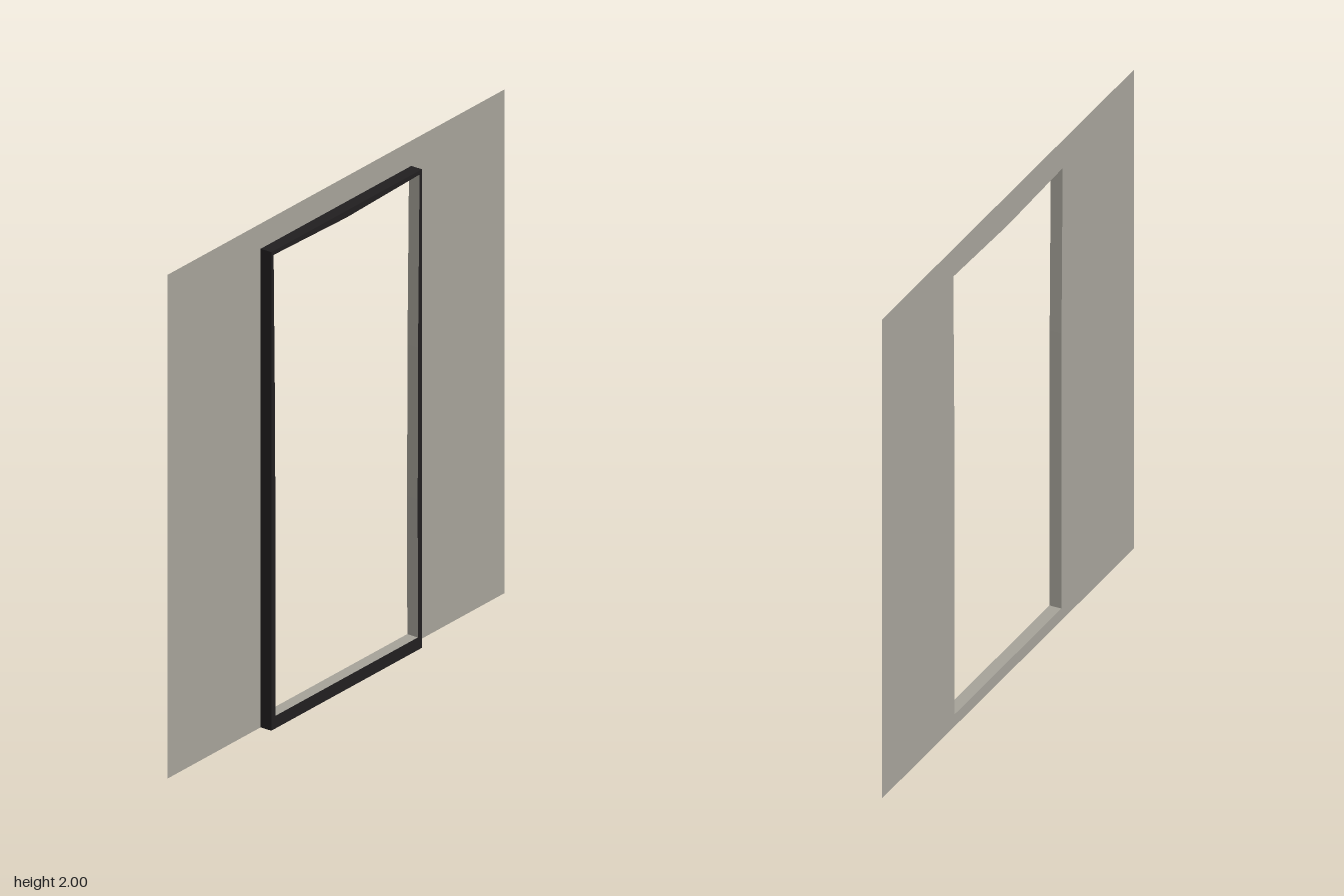
import * as THREE from 'three';

const BACK = -0.024, FRONT = 0.024;

// Counter-clockwise loops, seen from the front
const wallEdge = [[-1, 0], [1, 0], [1, 2], [-1, 2]];
const frameEdge = [[-0.447, 0], [0.447, 0], [0.447, 1.9], [-0.447, 1.9]];
const opening = [
  [-0.423, 0.05], [0.423, 0.05], [0.422, 0.6], [0.424, 1.2], [0.433, 1.884],
  [0.15, 1.877], [0, 1.873], [-0.15, 1.877],
  [-0.433, 1.884], [-0.424, 1.2], [-0.422, 0.6],
];

const toVectors = (loop) => loop.map(([x, y]) => new THREE.Vector2(x, y));

// Flat panel with the doorway cut out
function panel(edge, z) {
  const shape = new THREE.Shape(toVectors(edge));
  shape.holes.push(new THREE.Path(toVectors(opening)));
  return new THREE.ShapeGeometry(shape).translate(0, 0, z);
}

// Band of faces running around a loop, from back to front
function band(loop) {
  const positions = [];
  loop.forEach(([ax, ay], i) => {
    const [bx, by] = loop[(i + 1) % loop.length];
    positions.push(ax, ay, BACK, bx, by, BACK, bx, by, FRONT);
    positions.push(ax, ay, BACK, bx, by, FRONT, ax, ay, FRONT);
  });
  const geometry = new THREE.BufferGeometry();
  geometry.setAttribute('position', new THREE.Float32BufferAttribute(positions, 3));
  geometry.computeVertexNormals();
  return geometry;
}

export function createModel() {
  const plaster = new THREE.MeshStandardMaterial({ color: 0xa5a299, side: THREE.DoubleSide });
  plaster.name = 'warm grey plaster';
  const black = new THREE.MeshStandardMaterial({ color: 0x211f20, side: THREE.DoubleSide });
  black.name = 'black trim';

  const model = new THREE.Group();
  model.name = 'doorwayWall';
  const add = (name, geometry, material, parent) => {
    const mesh = new THREE.Mesh(geometry, material);
    mesh.name = name;
    parent.add(mesh);
  };

  // Thin wall sheet, flush with the back of the frame
  add('wall', panel(wallEdge, BACK), plaster, model);

  // Door frame: black face and outer sides, plaster lining inside
  const frame = new THREE.Group();
  frame.name = 'doorFrame';
  add('frameFace', panel(frameEdge, FRONT), black, frame);
  add('frameOuterSides', band(frameEdge), black, frame);
  add('doorwayLining', band([...opening].reverse()), plaster, frame);
  model.add(frame);

  return model;
}
